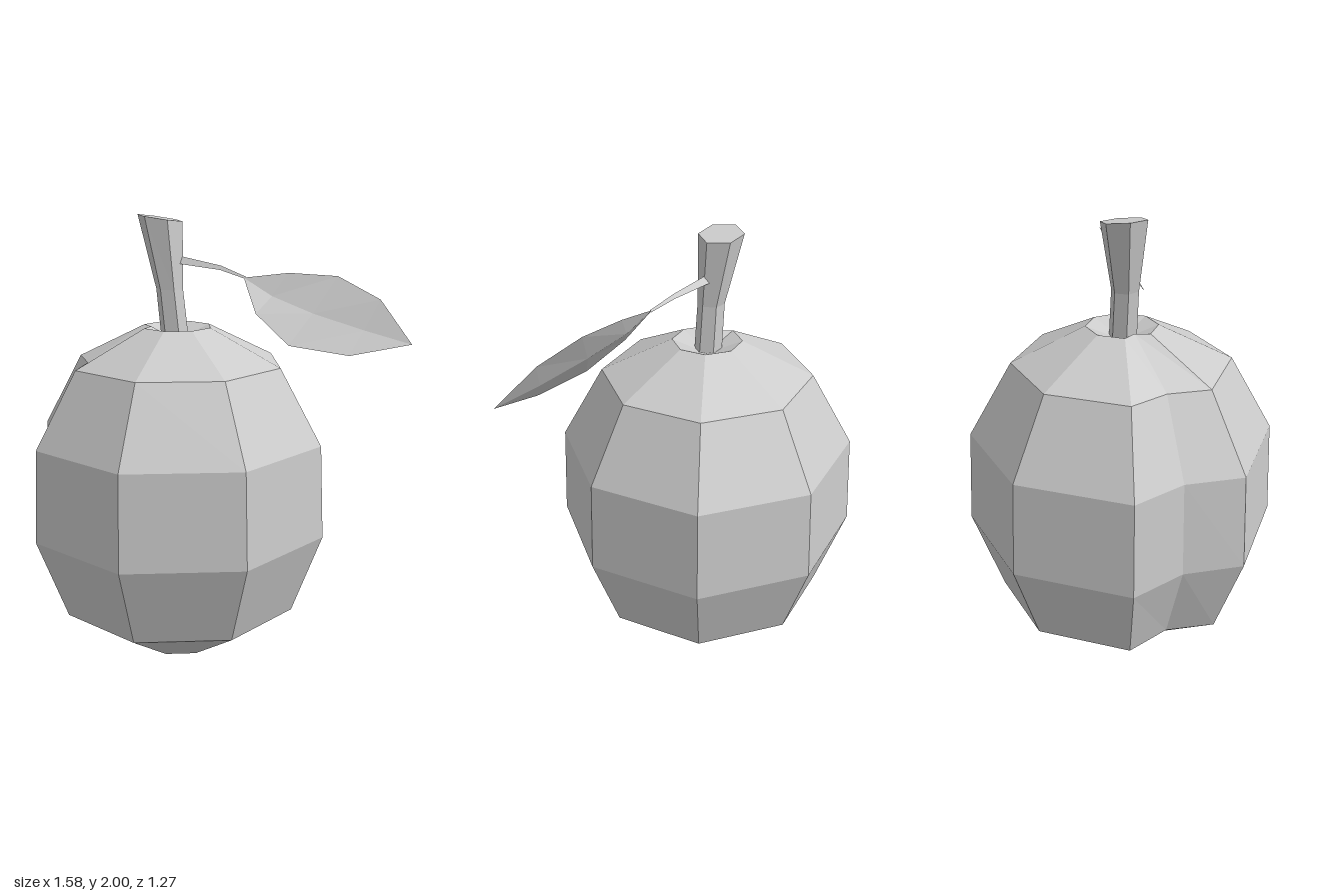
import * as THREE from 'three';

const V = (x, y, z) => new THREE.Vector3(x, y, z);

// Joins closed rings of points, listed from bottom to top, into flat faces
function loft(rings) {
  const out = [];
  const tri = (a, b, c) => {
    if (a.distanceTo(b) < 1e-6 || b.distanceTo(c) < 1e-6 || a.distanceTo(c) < 1e-6) return;
    for (const p of [a, b, c]) out.push(p.x, p.y, p.z);
  };
  for (let r = 0; r < rings.length - 1; r++) {
    const lo = rings[r], hi = rings[r + 1], n = lo.length;
    for (let i = 0; i < n; i++) {
      const j = (i + 1) % n;
      tri(lo[i], hi[i], hi[j]);
      tri(lo[i], hi[j], lo[j]);
    }
  }
  const geo = new THREE.BufferGeometry();
  geo.setAttribute('position', new THREE.Float32BufferAttribute(out, 3));
  geo.computeVertexNormals();
  return geo;
}

function part(name, geo, side = THREE.FrontSide) {
  const mesh = new THREE.Mesh(geo, new THREE.MeshStandardMaterial({ color: 0xcccccc, flatShading: true, side }));
  mesh.name = name;
  return mesh;
}

// Eight-sided ring with one extra point pressed in on the -x side for the groove
function fruitRing([y, apothem, groove]) {
  const pts = [];
  const radius = apothem / Math.cos(Math.PI / 8);
  for (let i = 0; i < 8; i++) {
    const a = Math.PI / 8 + (i * Math.PI) / 4;
    pts.push(V(radius * Math.cos(a), y, radius * Math.sin(a)));
    if (i === 3) pts.push(V(-groove, y, 0));
  }
  return pts;
}

// Tilted hexagonal ring of the stem
function stemRing([x, y, z, radius, tilt]) {
  return Array.from({ length: 6 }, (_, i) => {
    const a = 0.22 + (i * Math.PI) / 3;
    const dx = radius * Math.cos(a);
    return V(x + dx, y - tilt * dx, z + radius * Math.sin(a));
  });
}

// Leaf blade from its two edges, with a shallow fold along the midrib
function leafGeometry() {
  const base = V(0.13, 1.74, 0.12), tip = V(0.785, 1.505, 0.475);
  const upper = [base, V(0.32, 1.763, 0.155), V(0.52, 1.755, 0.22), V(0.68, 1.67, 0.335), tip];
  const lower = [base, V(0.172, 1.6, 0.23), V(0.298, 1.483, 0.35), V(0.535, 1.455, 0.443), tip];
  const out = [];
  const rib = upper.map((p, i) => {
    const sag = i === 0 || i === 4 ? 0 : 0.014;
    return p.clone().add(lower[i]).multiplyScalar(0.5).sub(V(0, sag, sag));
  });
  const tri = (a, b, c) => { for (const p of [a, b, c]) out.push(p.x, p.y, p.z); };
  for (const [low, high] of [[lower, rib], [rib, upper]]) {
    for (let i = 0; i < 4; i++) {
      if (i < 3) tri(low[i], low[i + 1], high[i + 1]);
      if (i > 0) tri(low[i], i < 3 ? high[i + 1] : tip, high[i]);
    }
  }
  const geo = new THREE.BufferGeometry();
  geo.setAttribute('position', new THREE.Float32BufferAttribute(out, 3));
  geo.computeVertexNormals();
  return geo;
}

export function createModel() {
  const model = new THREE.Group();
  model.name = 'fruit';

  // Body: y, half width, groove depth position; both ends dip inward
  const fruit = part('fruitBody', loft([
    [0.1, 0, 0],
    [0, 0.17, 0.12],
    [0.23, 0.508, 0.45],
    [0.6, 0.635, 0.575],
    [1.02, 0.618, 0.56],
    [1.355, 0.443, 0.4],
    [1.515, 0.145, 0.115],
    [1.45, 0, 0],
  ].map(fruitRing)));
  fruit.position.x = -0.155;
  model.add(fruit);

  // Stem, leaning and widening to a slanted cut top
  model.add(part('stem', loft([
    [-0.16, 1.42, 0, 0, 0],
    [-0.16, 1.42, 0, 0.062, 0],
    [-0.186, 1.68, -0.003, 0.06, 0],
    [-0.224, 1.985, -0.03, 0.1, 0.15],
    [-0.224, 1.985, -0.03, 0, 0],
  ].map(stemRing))));

  // Leaf stalk: three-sided and tapering, in rings across its path
  const stalkPath = [[-0.15, 1.803, -0.005, 0.022], [0.035, 1.775, 0.068, 0.012], [0.14, 1.738, 0.123, 0.006]];
  const across = V(-0.4, 0, 0.9);
  const stalkRings = stalkPath.map(([x, y, z, r]) => [0, 1, 2].map((i) => {
    const a = Math.PI / 2 + (i * 2 * Math.PI) / 3;
    return V(x, y + r * Math.sin(a), z).addScaledVector(across, r * Math.cos(a));
  }));
  model.add(part('leafStalk', loft(stalkRings), THREE.DoubleSide));

  model.add(part('leaf', leafGeometry(), THREE.DoubleSide));
  return model;
}
